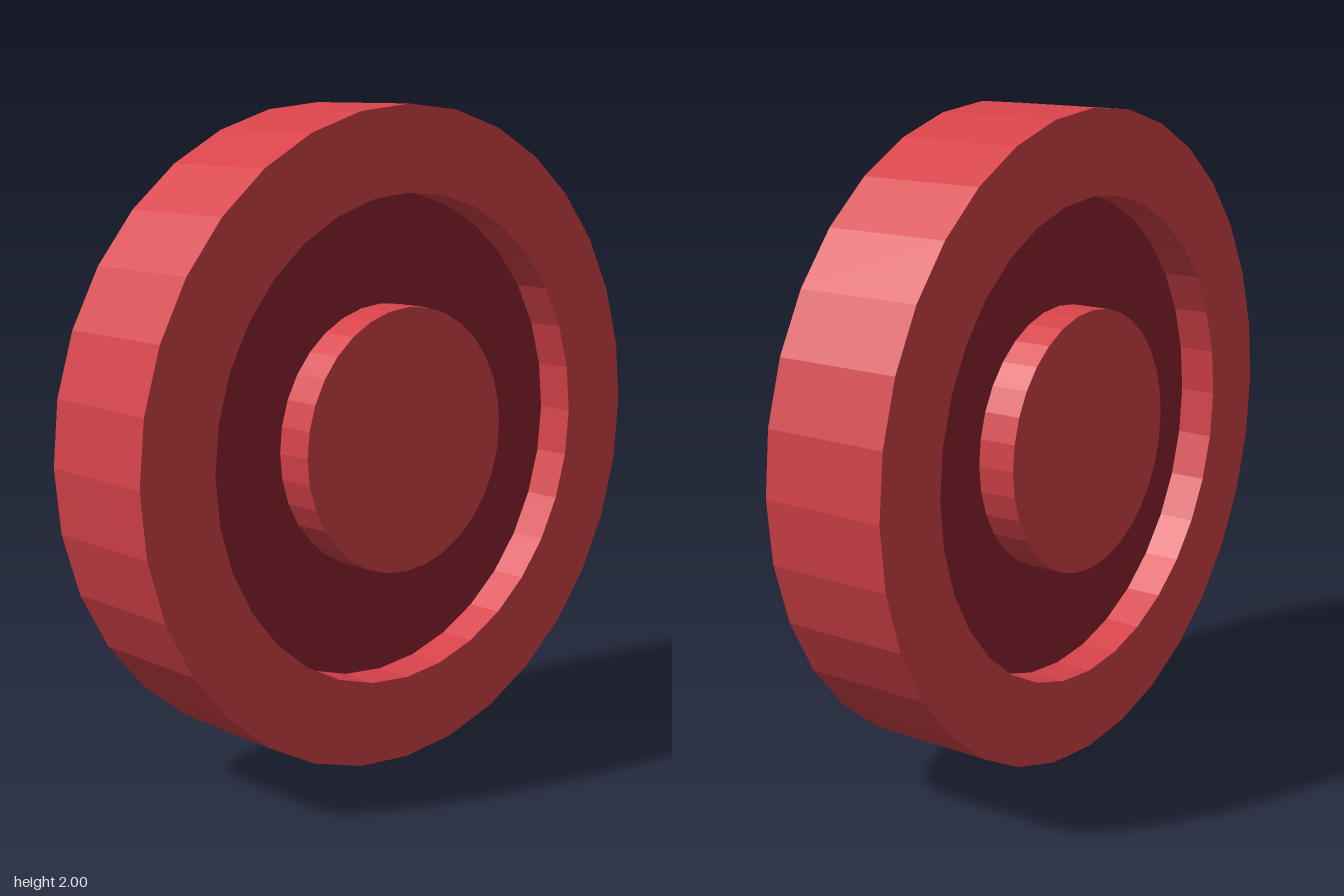
import * as THREE from 'three';

const SIDES = 32;

export function createModel() {
  const red = new THREE.MeshStandardMaterial({ color: 0xd8434a, flatShading: true });
  red.name = 'red';
  const darkRed = new THREE.MeshStandardMaterial({ color: 0x902433, flatShading: true });
  darkRed.name = 'dark red';

  const wheel = new THREE.Group();
  wheel.name = 'wheel';
  const add = (name, geometry, material) => {
    geometry.rotateX(Math.PI / 2); // axle along z
    const mesh = new THREE.Mesh(geometry, material);
    mesh.name = name;
    wheel.add(mesh);
  };

  // Outer ring: rectangular section turned around the axle
  const section = [[0.743, -0.2], [1, -0.2], [1, 0.2], [0.743, 0.2], [0.743, -0.2]]
    .map(([r, h]) => new THREE.Vector2(r, h));
  add('rim', new THREE.LatheGeometry(section, SIDES), red);

  // Recessed disc between rim and hub
  add('web', new THREE.CylinderGeometry(0.743, 0.743, 0.16, SIDES), darkRed);

  // Hub, flush with the rim on both faces
  add('hub', new THREE.CylinderGeometry(0.405, 0.405, 0.4, SIDES), red);

  wheel.position.y = 1;
  const model = new THREE.Group();
  model.name = 'model';
  model.add(wheel);
  return model;
}
